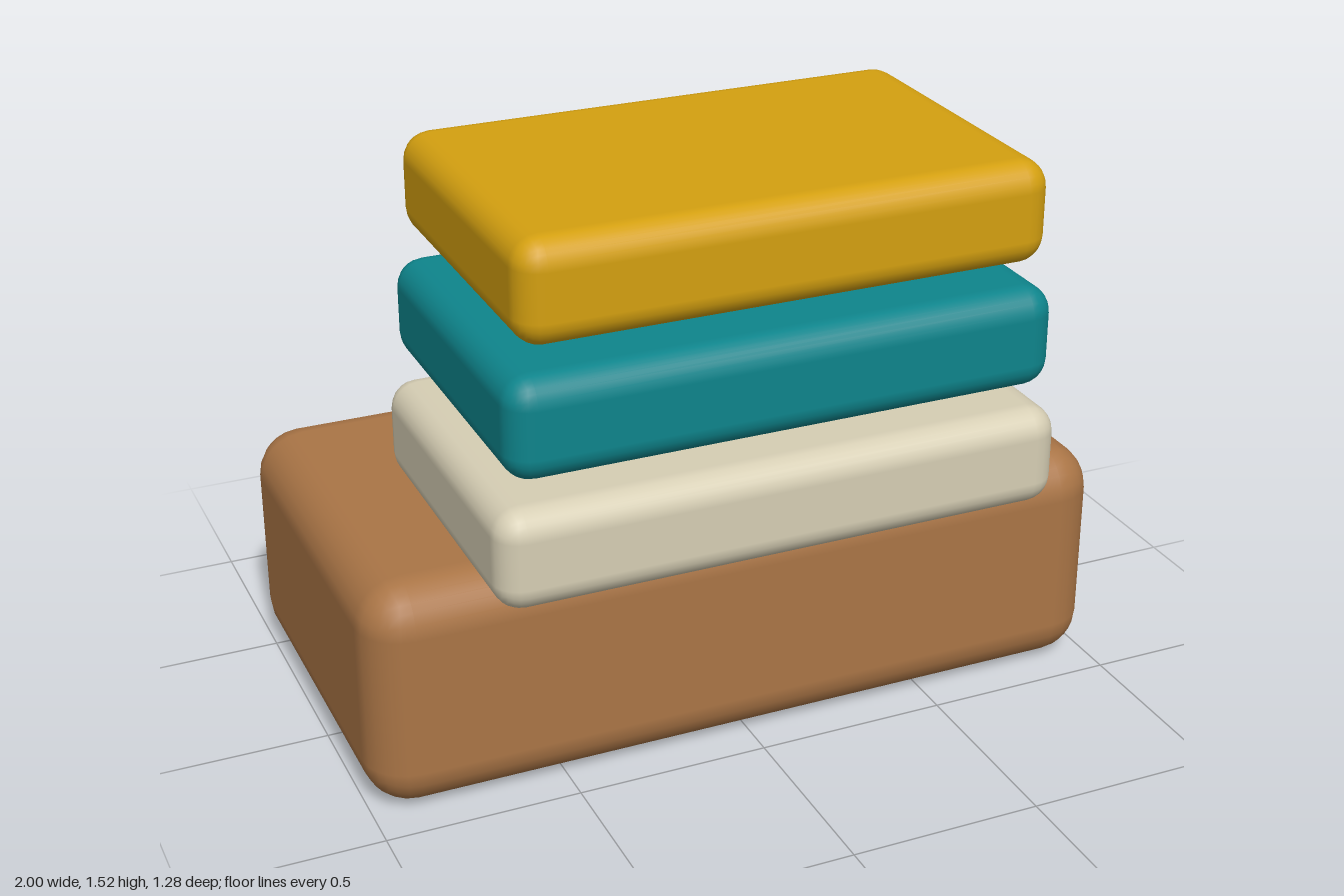
import * as THREE from 'three';
import { RoundedBoxGeometry } from 'three/addons/geometries/RoundedBoxGeometry.js';

const material = (name, color) => {
  const m = new THREE.MeshStandardMaterial({ color });
  m.name = name;
  return m;
};

export function createModel() {
  const group = new THREE.Group();
  group.name = 'stackedBlocks';

  // Soft-edged block, centred on x, standing on y
  const block = (name, mat, [w, h, d], y, z, radius) => {
    const mesh = new THREE.Mesh(new RoundedBoxGeometry(w, h, d, 3, radius), mat);
    mesh.name = name;
    mesh.position.set(0, y + h / 2, z);
    group.add(mesh);
  };

  // Large base, set towards the back
  block('base', material('brown', 0xaa7546), [2, 0.61, 1.08], 0, -0.1, 0.12);

  // Three slabs floating above one another, narrowing upwards
  const slabs = [
    ['lowerSlab', material('cream', 0xd6ceb4)],
    ['middleSlab', material('teal', 0x0e858c)],
    ['upperSlab', material('gold', 0xd4a010)],
  ];
  slabs.forEach(([name, mat], i) =>
    block(name, mat, [1.47 - i * 0.064, 0.26, 0.865], 0.612 + i * 0.326, 0.207, 0.07));

  return group;
}
